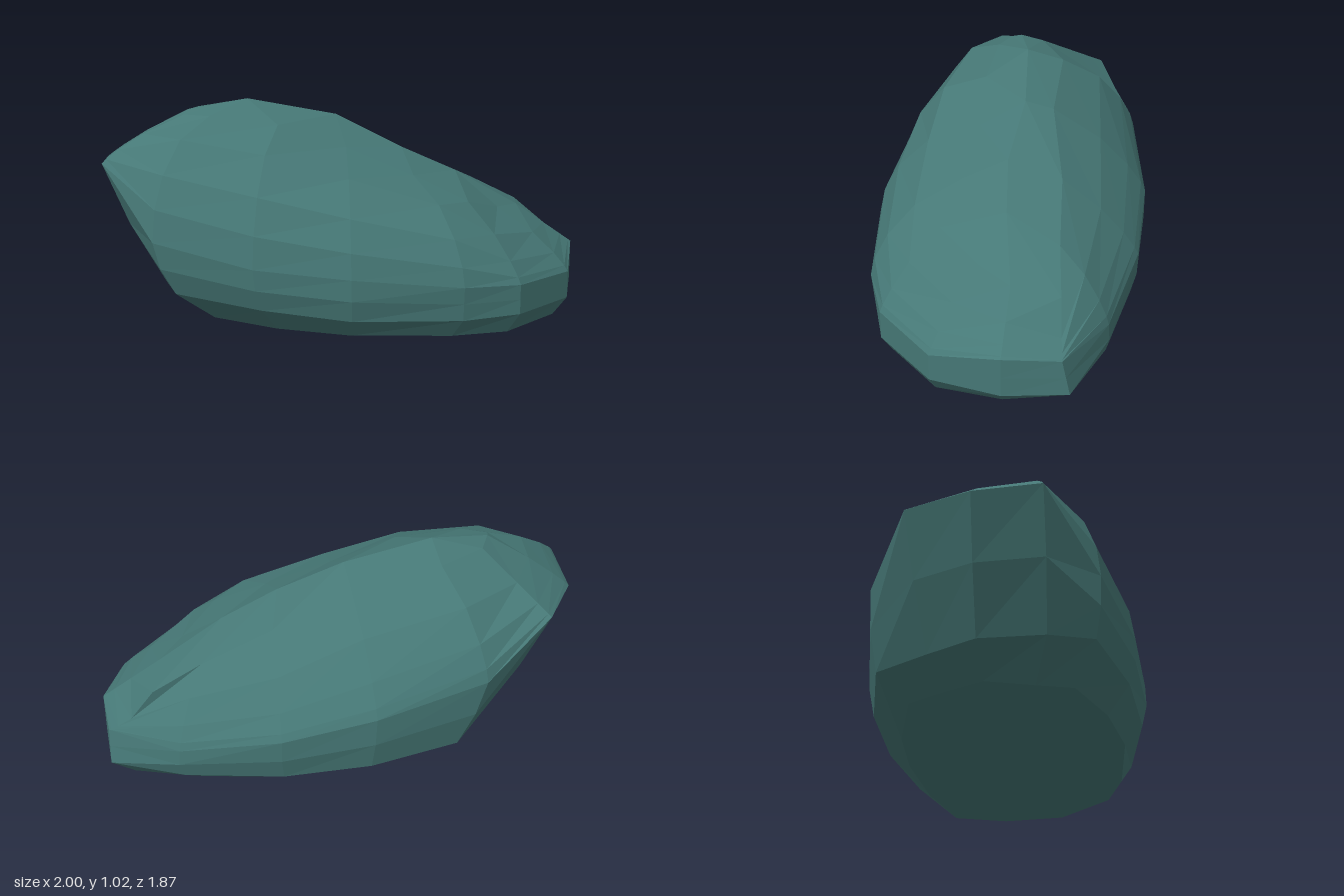
import * as THREE from 'three';

// Crown line running from the high end down to the low end
const CROWN = [
  [-0.38, 1.025, 0.28],
  [-0.06, 0.94, 0.0],
  [0.22, 0.785, -0.15],
  [0.42, 0.66, -0.33],
].map((p) => new THREE.Vector3(...p));

// One row per facet column, going round anticlockwise as seen from above:
// rim x, y, z | shoulder x, y, z | crown point | roundness between rim and shoulder
const COLUMNS = [
  [-1.0, 0.76, 0.31, -0.6, 0.98, 0.38, 0, 1.0],
  [-0.95, 0.74, 0.65, -0.57, 0.985, 0.5, 0, 1.1],
  [-0.76, 0.77, 0.89, -0.55, 0.97, 0.55, 0, 1.2],
  [-0.43, 0.45, 0.93, -0.42, 0.97, 0.52, 0, 1.9],
  [0.02, 0.36, 0.78, -0.15, 0.93, 0.35, 0, 1.8],
  [0.4, 0.32, 0.56, 0.1, 0.82, 0.15, 1, 1.7],
  [0.78, 0.26, 0.21, 0.38, 0.69, 0.0, 2, 1.6],
  [0.94, 0.24, -0.03, 0.62, 0.575, -0.1, 3, 1.2],
  [1.0, 0.22, -0.41, 0.64, 0.5, -0.36, 3, 1.2],
  [0.87, 0.28, -0.72, 0.64, 0.475, -0.56, 3, 1.0],
  [0.69, 0.27, -0.91, 0.53, 0.45, -0.76, 3, 0.7],
  [0.32, 0.25, -0.86, 0.36, 0.57, -0.6, 3, 1.3],
  [-0.12, 0.34, -0.67, 0.1, 0.72, -0.38, 2, 1.2],
  [-0.48, 0.44, -0.42, -0.15, 0.9, -0.1, 1, 1.25],
  [-0.85, 0.55, -0.04, -0.5, 0.97, 0.15, 0, 1.4],
];

// Knee of each column: the corner just above the base
const KNEES = [
  [-0.73, 0.2, 0.2], [-0.71, 0.2, 0.47], [-0.54, 0.2, 0.72], [-0.37, 0.2, 0.85], [0.03, 0.16, 0.73],
  [0.39, 0.12, 0.54], [0.77, 0.1, 0.2], [0.94, 0.1, -0.03], [1.0, 0.09, -0.41], [0.87, 0.09, -0.72],
  [0.67, 0.1, -0.94], [0.31, 0.1, -0.84], [-0.11, 0.12, -0.64], [-0.45, 0.16, -0.41], [-0.74, 0.2, -0.1],
];
const UPPER = [0.95, 0.8, 0.5]; // ring distances from the shoulder

// All points of one column, from the base up to the crown
function columnPoints([x, y, z, sx, sy, sz, crown, round], i) {
  const rim = new THREE.Vector3(x, y, z);
  const shoulder = new THREE.Vector3(sx, sy, sz);
  const knee = new THREE.Vector3(...KNEES[i]);
  const inset = 0.83 + 0.11 * knee.x;
  const bx = knee.x * inset;
  // flat base, turning up under the overhanging end
  const baseY = Math.max(0, 0.04 - 0.04 * bx + 0.3 * Math.max(0, -bx - 0.42));
  const middle = knee.clone().lerp(rim, 0.5);
  if (x < 0.5) middle.multiply(new THREE.Vector3(1.02, 1, 1.02));
  const curve = UPPER.map((s) => {
    const p = shoulder.clone().lerp(rim, s);
    p.y = y + (sy - y) * Math.pow(1 - Math.pow(s, round), 1 / round);
    return p;
  });
  const base = new THREE.Vector3(bx, baseY, knee.z * inset);
  return [base, knee, middle, rim, ...curve, shoulder, CROWN[crown]];
}

function rockGeometry() {
  const columns = COLUMNS.map(columnPoints);
  const n = columns.length;
  const rings = columns[0].length;
  const positions = [];
  const index = [];
  for (let j = 0; j < rings; j++) {
    for (let i = 0; i < n; i++) positions.push(...columns[i][j].toArray());
  }
  positions.push(0.1, 0.03, 0);
  const bottom = n * rings;
  for (let i = 0; i < n; i++) {
    const k = (i + 1) % n;
    for (let j = 0; j < rings - 1; j++) {
      const a = j * n + i, b = j * n + k;
      index.push(a, b, b + n);
      // columns sharing a crown point close with a single triangle
      if (columns[i][j + 1] !== columns[k][j + 1]) index.push(a, b + n, a + n);
    }
    index.push(k, i, bottom);
  }
  const geometry = new THREE.BufferGeometry();
  geometry.setAttribute('position', new THREE.Float32BufferAttribute(positions, 3));
  geometry.setIndex(index);
  geometry.computeVertexNormals();
  return geometry;
}

export function createModel() {
  const group = new THREE.Group();
  group.name = 'rock';
  const material = new THREE.MeshStandardMaterial({ color: 0x467876, flatShading: true });
  const boulder = new THREE.Mesh(rockGeometry(), material);
  boulder.name = 'boulder';
  group.add(boulder);
  return group;
}
